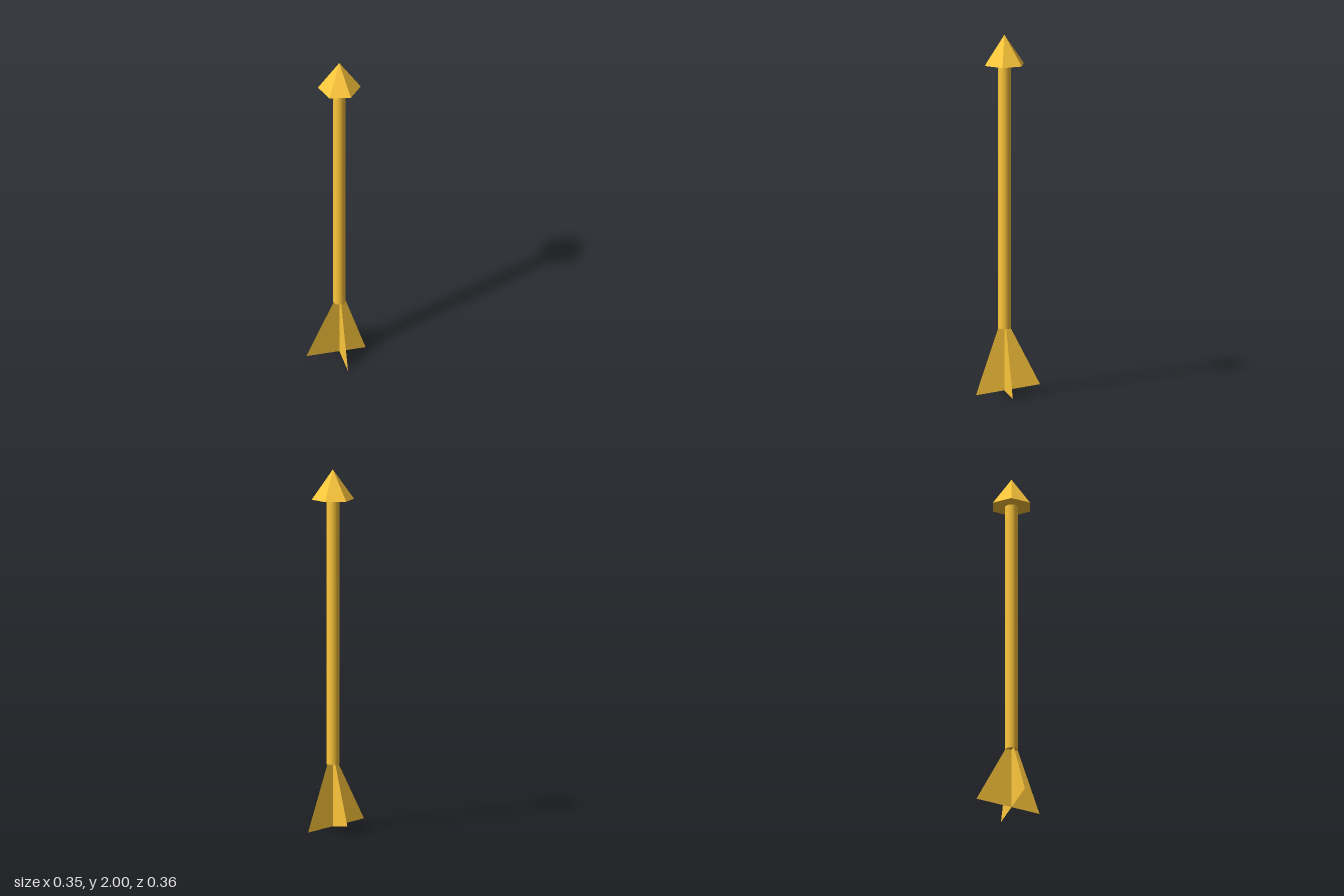
import * as THREE from 'three';

export function createModel() {
  const model = new THREE.Group();
  const axis = 0.019; // the shaft stands slightly off centre in x and z
  const color = 0xffc83c;
  const smooth = new THREE.MeshStandardMaterial({ color });
  const faceted = new THREE.MeshStandardMaterial({ color, flatShading: true });
  const thin = new THREE.MeshStandardMaterial({ color, side: THREE.DoubleSide });

  const add = (name, geometry, material, y, turn = 0) => {
    const mesh = new THREE.Mesh(geometry, material);
    mesh.name = name;
    mesh.position.set(axis, y, axis);
    mesh.rotation.y = turn;
    model.add(mesh);
  };

  // Round shaft
  add('shaft', new THREE.CylinderGeometry(0.035, 0.035, 1.465, 32), smooth, 1.1025);

  // Six-sided pointed head
  add('head', new THREE.ConeGeometry(0.117, 0.165, 6), faceted, 1.9175, Math.PI / 12);

  // Two flat crossed fins with slanted lower edges
  const outline = new THREE.Shape([
    new THREE.Vector2(-0.035, 0.37),
    new THREE.Vector2(-0.198, 0.053),
    new THREE.Vector2(0.158, 0.002),
    new THREE.Vector2(0.035, 0.37),
  ]);
  const fin = new THREE.ShapeGeometry(outline);
  add('sideFin', fin, thin, 0, 0.125);
  add('frontBackFin', fin, thin, 0, -Math.PI / 2);

  return model;
}
